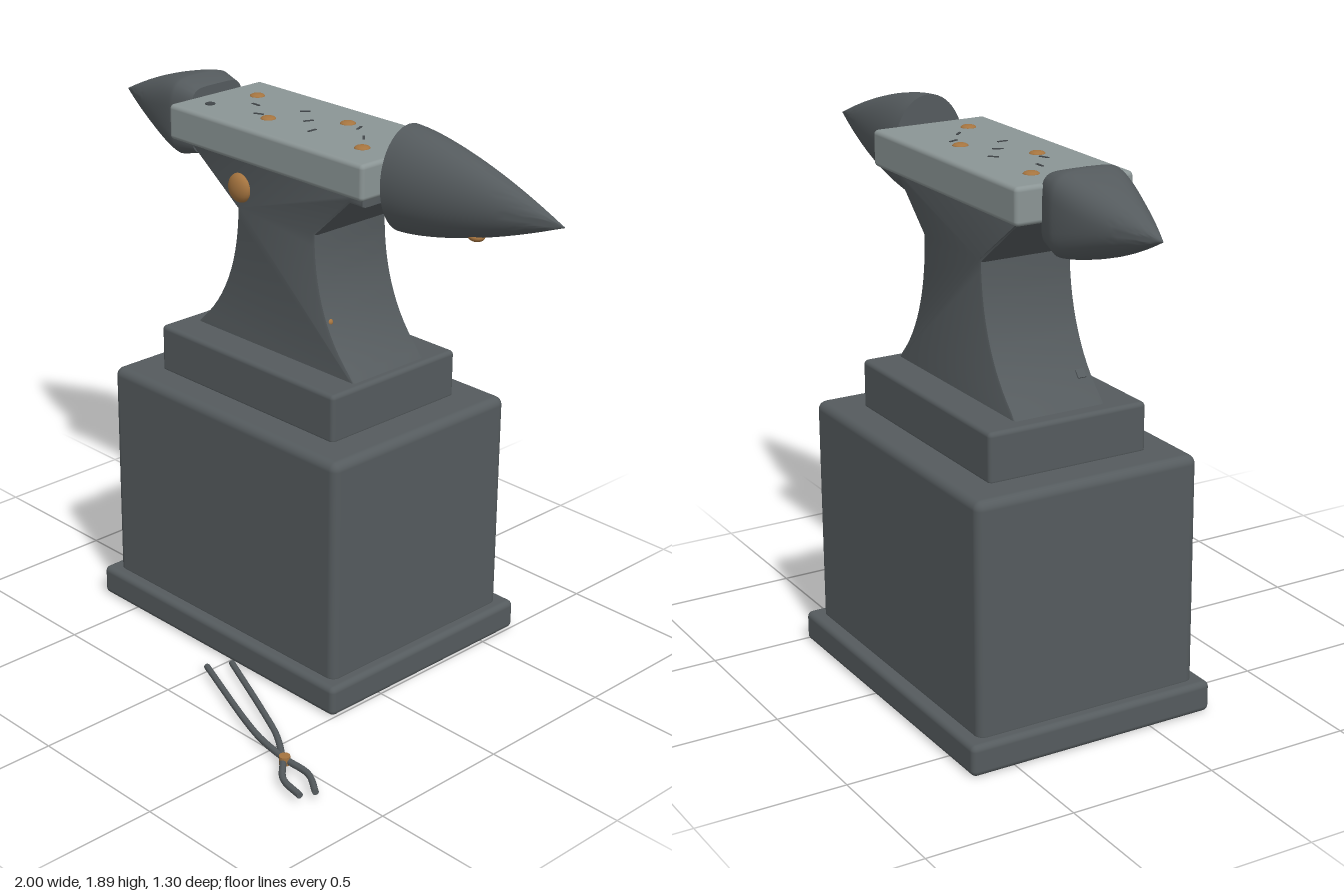
import * as THREE from 'three';
import { RoundedBoxGeometry } from 'three/addons/geometries/RoundedBoxGeometry.js';
import { toCreasedNormals } from 'three/addons/utils/BufferGeometryUtils.js';

const CZ = -0.215; // depth of the anvil's centre line
const mat = (name, color) => new THREE.MeshStandardMaterial({ name, color });

export function createModel() {
  const group = new THREE.Group();
  const iron = mat('dark iron', 0x555b5e);
  const steel = mat('polished steel', 0x8b9595);
  const copper = mat('copper', 0xa5743f);
  const soot = mat('soot', 0x42474a);

  const add = (name, geometry, material, x = 0, y = 0, z = 0) => {
    const mesh = new THREE.Mesh(geometry, material);
    mesh.name = name;
    mesh.position.set(x, y, z);
    group.add(mesh);
    return mesh;
  };
  // rounded box given by its extents
  const slab = (name, m, x0, x1, y0, y1, z0, z1, r) =>
    add(name, new RoundedBoxGeometry(x1 - x0, y1 - y0, z1 - z0, 3, r), m,
      (x0 + x1) / 2, (y0 + y1) / 2, (z0 + z1) / 2);

  // stepped pedestal, foot and face plate
  slab('plinth', iron, -0.67, 0.5, 0, 0.105, -0.655, 0.225, 0.02);
  slab('block', iron, -0.63, 0.46, 0.08, 0.88, -0.61, 0.185, 0.03);
  slab('foot', iron, -0.505, 0.33, 0.87, 1.04, -0.495, 0.07, 0.015);
  slab('facePlate', steel, -0.54, 0.365, 1.675, 1.795, -0.42, -0.01, 0.015);

  // waist: flared profile with bevelled edges
  const bevel = 0.012;
  const profile = new THREE.Shape();
  profile.moveTo(-0.45, 1.03);
  profile.bezierCurveTo(-0.31, 1.14, -0.24, 1.3, -0.238, 1.5);
  profile.lineTo(-0.49, 1.68);
  profile.lineTo(0.318, 1.68);
  profile.lineTo(0.318, 1.652);
  profile.lineTo(0.268, 1.652);
  profile.lineTo(0.105, 1.5);
  profile.bezierCurveTo(0.105, 1.3, 0.17, 1.14, 0.3, 1.03);
  const waist = new THREE.ExtrudeGeometry(profile, {
    depth: 0.325 - 2 * bevel, bevelSize: bevel, bevelThickness: bevel,
    bevelSegments: 2, curveSegments: 14,
  });
  add('waist', toCreasedNormals(waist, 0.6), iron, 0, 0, -0.375 + bevel);

  // horn skinned over superellipse rings [x, ry, rz, exponent]; ends are closed
  const horn = (name, rings, y) => {
    const n = 48, pos = [], idx = [];
    const all = [[rings[0][0], 0, 0, 2], ...rings];
    for (const [x, ry, rz, e] of all)
      for (let i = 0; i < n; i++) {
        const a = (i / n) * Math.PI * 2, c = Math.cos(a), s = Math.sin(a);
        pos.push(x, ry * Math.sign(c) * Math.abs(c) ** (2 / e), rz * Math.sign(s) * Math.abs(s) ** (2 / e));
      }
    const flip = rings[0][0] < 0;
    for (let k = 0; k < all.length - 1; k++)
      for (let i = 0; i < n; i++) {
        const a = k * n + i, b = k * n + (i + 1) % n, c = a + n, d = b + n;
        if (flip) idx.push(a, c, b, b, c, d);
        else idx.push(a, b, c, b, d, c);
      }
    const g = new THREE.BufferGeometry();
    g.setAttribute('position', new THREE.Float32BufferAttribute(pos, 3));
    g.setIndex(idx);
    add(name, toCreasedNormals(g, 0.7), iron, 0, y, CZ);
  };
  const right = [], left = [[-0.53, 0.115, 0.113, 5]];
  for (let i = 0; i <= 20; i++) {
    const t = i / 20, f = Math.max(1 - t ** 1.5, 0.004);
    right.push([0.365 + 0.635 * t, 0.175 * f, 0.127 * f, 2]);
    left.push([-0.605 - 0.395 * t, 0.135 * f, 0.135 * f, 2 + 2 * (1 - t) ** 3]);
  }
  horn('longHorn', right, 1.712);
  horn('shortHorn', left, 1.712);

  // copper studs: flattened domes
  const dome = (name, x, y, z, sx, sy, sz) =>
    add(name, new THREE.SphereGeometry(1, 20, 14), copper, x, y, z).scale.set(sx, sy, sz);
  dome('frontStud', -0.235, 1.57, -0.05, 0.05, 0.05, 0.027);
  dome('hornStud', 0.665, 1.6, CZ + 0.01, 0.028, 0.016, 0.026);
  dome('waistStud', 0.168, 1.21, -0.07, 0.012, 0.012, 0.012);
  for (let i = 0; i < 4; i++)
    dome('faceRivet', -0.41 + 0.215 * i, 1.794, i % 2 ? -0.14 : -0.29, 0.026, 0.01, 0.026);

  // pritchel hole and hammer scratches on the face
  add('pritchelHole', new THREE.CylinderGeometry(0.017, 0.017, 0.006, 16), soot, -0.445, 1.795, -0.11);
  for (let i = 0; i < 7; i++) {
    const z = [-0.215, -0.15, -0.28][i % 3];
    add('scratch', new THREE.BoxGeometry(0.035, 0.005, 0.008), soot, -0.335 + 0.0835 * i, 1.795, z)
      .rotation.y = i * Math.PI / 8;
  }
  // small chip on the waist's left curve
  add('waistChip', new THREE.BoxGeometry(0.03, 0.03, 0.03), iron, -0.365, 1.115, -0.09).rotation.z = 0.8;

  // tongs lying on the ground: two crossing bars and a pivot
  const bar = (name, points) => {
    const path = new THREE.CatmullRomCurve3(points.map(p => new THREE.Vector3(p[0], p[2], p[1])));
    add(name, new THREE.TubeGeometry(path, 48, 0.011, 8), iron);
    for (const t of [0, 1]) {
      const cap = add(name + 'End', new THREE.CircleGeometry(0.011, 8), iron);
      cap.position.copy(path.getPoint(t));
      cap.lookAt(path.getPoint(t).addScaledVector(path.getTangent(t), t ? 1 : -1));
    }
  };
  bar('tongBarA', [[0.04, 0.25, 0.02], [0.35, 0.388, 0.02], [0.48, 0.452, 0.02], [0.6, 0.54, 0.023],
    [0.68, 0.612, 0.027], [0.78, 0.637, 0.029]]);
  bar('tongBarB', [[0, 0.327, 0.02], [0.35, 0.465, 0.02], [0.46, 0.5, 0.02], [0.6, 0.525, 0.023],
    [0.71, 0.535, 0.027], [0.8, 0.59, 0.029]]);
  add('tongPivot', new THREE.CylinderGeometry(0.018, 0.018, 0.03, 16), copper, 0.6, 0.026, 0.532);

  return group;
}
